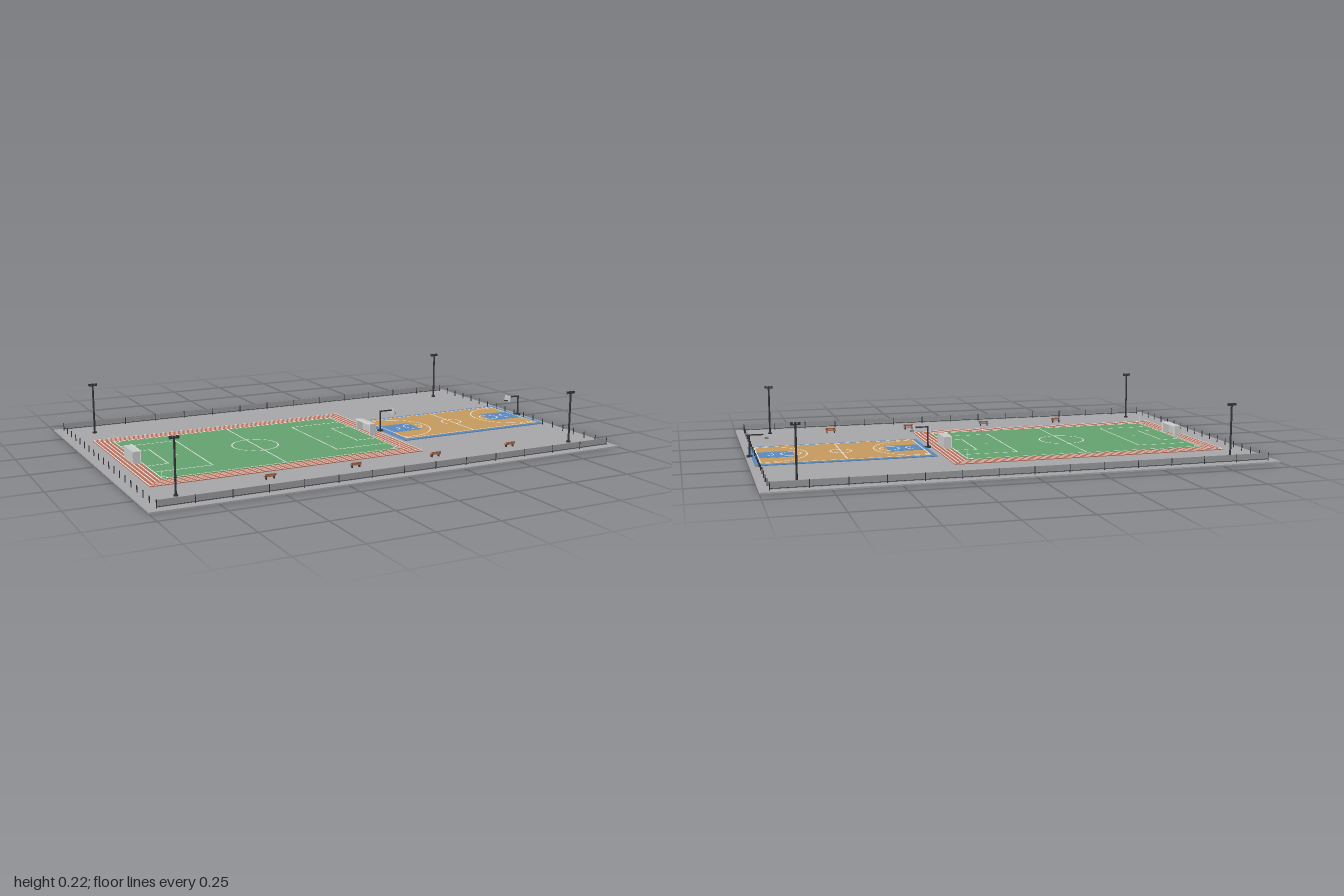
import * as THREE from 'three';

const mat = (name, color, side = THREE.FrontSide) => {
  const m = new THREE.MeshStandardMaterial({ color, side });
  m.name = name;
  return m;
};

export function createModel() {
  const root = new THREE.Group();
  root.name = 'sportsGround';
  const concrete = mat('concrete', 0xa6a5a9);
  const clay = mat('clay', 0xb96f5b);
  const grass = mat('grass', 0x64a26f);
  const white = mat('linePaint', 0xe4e4e0);
  const wood = mat('courtWood', 0xc79a5f);
  const blue = mat('courtBlue', 0x5a8abf);
  const metal = mat('darkMetal', 0x34363a);
  const net = mat('net', 0xc8c9c9, THREE.DoubleSide);
  const bench = mat('benchWood', 0xa8664c);
  const fence = mat('fencePanel', 0x98999b, THREE.DoubleSide);

  const group = (name, parent = root) => {
    const g = new THREE.Group();
    g.name = name;
    parent.add(g);
    return g;
  };
  const add = (parent, name, geo, m, x, y, z) => {
    const mesh = new THREE.Mesh(geo, m);
    mesh.name = name;
    mesh.position.set(x, y, z);
    parent.add(mesh);
    return mesh;
  };
  const box = (p, name, m, x, y, z, w, h, d) => add(p, name, new THREE.BoxGeometry(w, h, d), m, x, y, z);
  // y is the foot of the post
  const post = (p, name, m, x, y, z, r, h) =>
    add(p, name, new THREE.CylinderGeometry(r, r, h, 8), m, x, y + h / 2, z);

  // Painted markings lying on the ground
  const LW = 0.005;
  const flat = (p, name, geo, x, y, z) => add(p, name, geo.rotateX(-Math.PI / 2), white, x, y, z);
  const line = (p, x, y, z, w, d) => flat(p, 'line', new THREE.PlaneGeometry(w, d), x, y, z);
  const arc = (p, x, y, z, r, start = 0, sweep = Math.PI * 2) =>
    flat(p, 'arc', new THREE.RingGeometry(r - LW / 2, r + LW / 2, 40, 1, start, sweep), x, y, z);
  const frame = (p, x, y, z, w, d) => {
    for (const s of [-1, 1]) {
      line(p, x, y, z + s * (d - LW) / 2, w, LW);
      line(p, x + s * (w - LW) / 2, y, z, LW, d - 2 * LW);
    }
  };

  box(root, 'groundSlab', concrete, 0, 0.003, 0, 2, 0.006, 1.334);

  // Running track with lane lines
  const FX = -0.333;
  const track = group('runningTrack');
  box(track, 'trackSurface', clay, FX, 0.007, 0, 1.142, 0.004, 0.764);
  for (let i = 0; i < 4; i++) frame(track, FX, 0.01, 0, 1.142 - i * 0.035, 0.764 - i * 0.035);

  // Football pitch
  const pitch = group('footballPitch');
  const PY = 0.0115;
  box(pitch, 'grassField', grass, FX, 0.008, 0, 1.006, 0.005, 0.624);
  frame(pitch, FX, PY, 0, 1.006, 0.624);
  line(pitch, FX, PY, 0, LW, 0.614);
  arc(pitch, FX, PY, 0, 0.095);
  for (const s of [-1, 1]) {
    const end = FX + s * 0.503;
    frame(pitch, end - s * 0.119, PY, 0, 0.238, 0.436);
    frame(pitch, end - s * 0.047, PY, 0, 0.094, 0.242);
    flat(pitch, 'penaltySpot', new THREE.CircleGeometry(0.005, 12), end - s * 0.167, PY, 0);
    for (const t of [-1, 1]) {
      const start = s < 0 ? (t < 0 ? -Math.PI / 2 : 0) : (t < 0 ? Math.PI : Math.PI / 2);
      arc(pitch, end, PY, t * 0.312, 0.025, start, Math.PI / 2);
      post(pitch, 'cornerFlag', white, end, 0.01, t * 0.31, 0.0013, 0.033);
    }

    // Goal, open towards the pitch
    const goal = group('goal');
    goal.position.set(end, 0.009, 0);
    goal.scale.x = 1;
    const depth = 0.03, h = 0.047, half = 0.059;
    box(goal, 'backNet', net, s * depth, h / 2, 0, 0.002, h, half * 2);
    box(goal, 'topNet', net, s * depth / 2, h, 0, depth, 0.002, half * 2);
    for (const t of [-1, 1]) {
      box(goal, 'sideNet', net, s * depth / 2, h / 2, t * half, depth, h, 0.002);
      post(goal, 'goalPost', white, 0, 0, t * half, 0.0025, h);
    }
    box(goal, 'crossbar', white, 0, h, 0, 0.005, 0.005, half * 2 + 0.005);
  }

  // Basketball court
  const CX = 0.62, CY = 0.0112;
  const court = group('basketballCourt');
  box(court, 'courtBorder', blue, CX, 0.0065, 0, 0.716, 0.005, 0.404);
  box(court, 'courtFloor', wood, CX, 0.0075, 0, 0.674, 0.005, 0.362);
  frame(court, CX, CY, 0, 0.674, 0.362);
  line(court, CX, CY, 0, LW, 0.352);
  arc(court, CX, CY, 0, 0.043);
  for (const s of [-1, 1]) {
    const end = CX + s * 0.337;
    const inward = s < 0 ? -Math.PI / 2 : Math.PI / 2;
    box(court, 'keyArea', blue, end - s * 0.073, 0.0081, 0, 0.146, 0.005, 0.122);
    arc(court, end - s * 0.136, CY, 0, 0.04);
    arc(court, end - s * 0.042, CY, 0, 0.158, inward, Math.PI);
    arc(court, end - s * 0.042, CY, 0, 0.025, inward, Math.PI);
    for (const t of [-1, 1]) line(court, end - s * 0.021, CY, t * 0.158, 0.042, LW);

    // Hoop stand
    const hoop = group('basketballHoop');
    const px = CX + s * 0.364;
    box(hoop, 'standBase', metal, px, 0.009, 0, 0.024, 0.007, 0.016);
    post(hoop, 'standPole', metal, px, 0.006, 0, 0.0035, 0.09);
    box(hoop, 'standArm', metal, px - s * 0.028, 0.094, 0, 0.058, 0.005, 0.005);
    box(hoop, 'backboard', net, px - s * 0.058, 0.088, 0, 0.003, 0.026, 0.042);
    const rim = add(hoop, 'rim', new THREE.TorusGeometry(0.008, 0.0013, 6, 16), metal, px - s * 0.067, 0.079, 0);
    rim.rotation.x = Math.PI / 2;
  }

  // Floodlights at the four corners
  for (const sx of [-1, 1]) for (const sz of [-1, 1]) {
    const lamp = group('floodlight');
    lamp.position.set(sx * 0.857, 0.006, sz * 0.525);
    post(lamp, 'lampBase', metal, 0, 0, 0, 0.009, 0.006);
    post(lamp, 'lampPole', metal, 0, 0, 0, 0.004, 0.21);
    box(lamp, 'lampBar', metal, 0, 0.207, 0, 0.036, 0.004, 0.005);
    for (const t of [-1, 0, 1]) box(lamp, 'lampHead', metal, t * 0.013, 0.211, 0, 0.009, 0.009, 0.009);
  }

  // Fences along the long edges, bollards along the short edges
  const boundary = group('boundary');
  for (const s of [-1, 1]) {
    box(boundary, 'fencePanel', fence, 0, 0.0225, s * 0.635, 1.926, 0.027, 0.002);
    box(boundary, 'fenceRail', metal, 0, 0.012, s * 0.635, 1.926, 0.002, 0.003);
    for (let i = 0; i <= 14; i++)
      post(boundary, 'fencePost', metal, -0.963 + i * 0.13757, 0.006, s * 0.635, 0.002, 0.031);
    for (let i = 1; i < 18; i++)
      post(boundary, 'bollard', metal, s * 0.965, 0.006, -0.635 + i * 0.07056, 0.002, 0.027);
  }

  // Benches
  for (const x of [-0.477, -0.121, 0.236, 0.593]) {
    const b = group('bench');
    b.position.set(x, 0.006, 0.475);
    box(b, 'benchSeat', bench, 0, 0.011, 0, 0.044, 0.003, 0.013);
    box(b, 'benchBack', bench, 0, 0.018, 0.007, 0.044, 0.007, 0.002);
    for (const t of [-1, 1]) {
      box(b, 'benchLeg', metal, t * 0.016, 0.005, 0, 0.003, 0.01, 0.011);
      box(b, 'benchBackSupport', metal, t * 0.016, 0.015, 0.0055, 0.003, 0.01, 0.002);
    }
  }
  return root;
}
